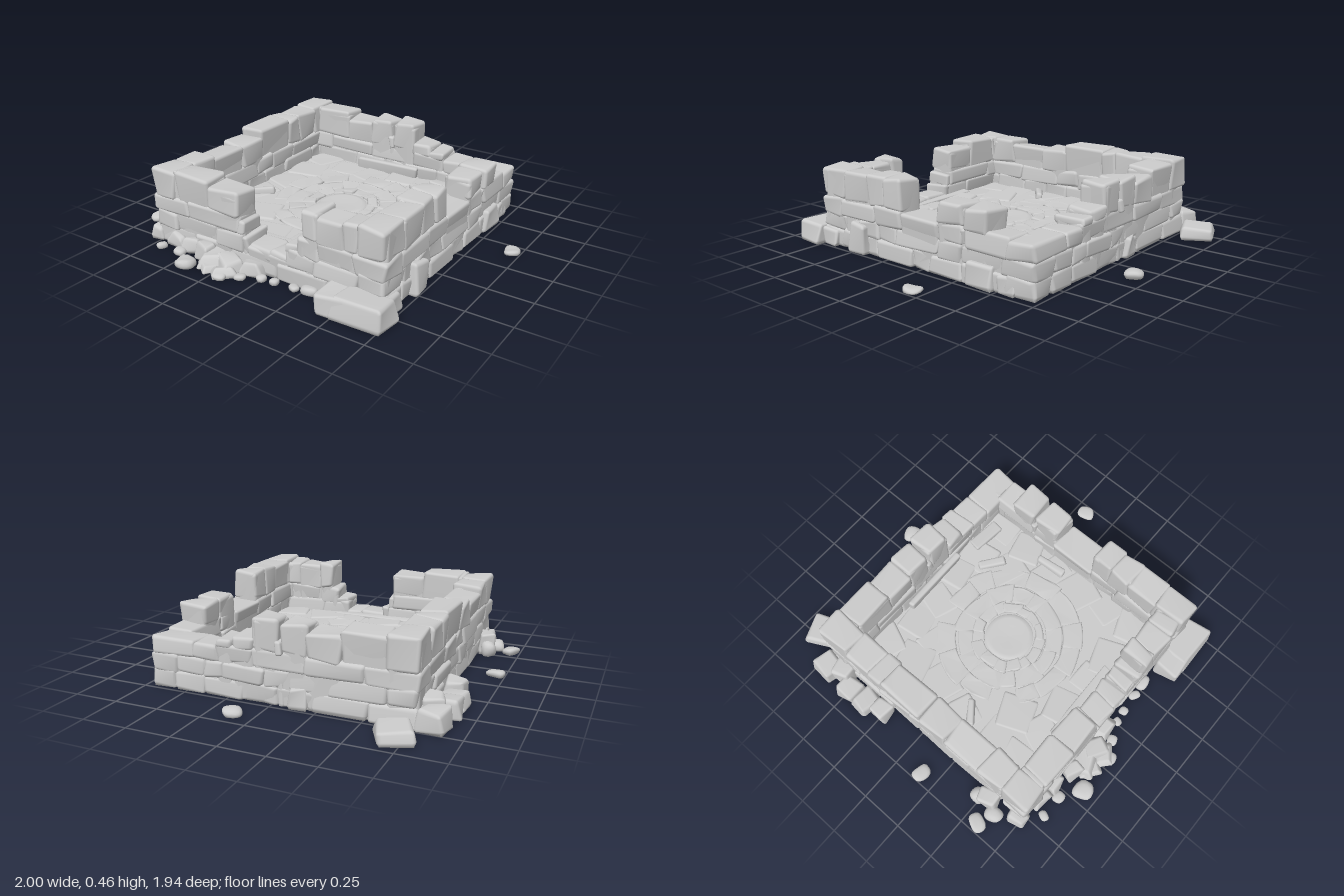
import * as THREE from 'three';
import { mergeGeometries, mergeVertices } from 'three/addons/utils/BufferGeometryUtils.js';
import { RoundedBoxGeometry } from 'three/addons/geometries/RoundedBoxGeometry.js';

const material = new THREE.MeshStandardMaterial({ color: 0xcccccc });
const FLOOR = 0.117, THICK = 0.165;
const X0 = -0.775, X1 = 0.71, Z0 = -0.728, Z1 = 0.765;

let seed = 7;
const rand = (a = 0, b = 1) => {
  seed = (seed * 16807) % 2147483647;
  return a + (b - a) * (seed / 2147483647);
};

// Smooth weathering: moves points by sine waves, keeps everything above ground.
function weather(geometry, amount) {
  for (const key of ['normal', 'uv']) geometry.deleteAttribute(key);
  const g = mergeVertices(geometry, 1e-4), p = g.attributes.position;
  const phase = rand(0, 20);
  for (let i = 0; i < p.count; i++) {
    const x = p.getX(i), y = p.getY(i), z = p.getZ(i);
    const wave = (a, b, c) => amount * Math.sin(a * x + b * y + c * z + phase);
    p.setXYZ(i, x + wave(19, 31, 23),
      y < 0.004 ? 0 : Math.max(0, y + wave(23, 17, 29)), z + wave(29, 27, 13));
  }
  g.computeVertexNormals();
  return g;
}

// A worn block standing on height y, optionally turned and narrowed at the top.
function block(x, y, z, w, h, d, turn = 0, taper = 1, amount = 0.007) {
  const radius = Math.min(0.02, w * 0.35, h * 0.35, d * 0.35);
  const g = new RoundedBoxGeometry(w, h, d, 2, radius), p = g.attributes.position;
  for (let i = 0; i < p.count; i++) {
    const s = 1 + (taper - 1) * (p.getY(i) / h + 0.5);
    p.setX(i, p.getX(i) * s);
    p.setZ(i, p.getZ(i) * s);
  }
  g.rotateY(turn).translate(x, y + h / 2, z);
  return weather(g, amount);
}

// A rough loose stone lying on the ground.
function pebble(x, z, w, h, d) {
  const g = new THREE.IcosahedronGeometry(1, 2), p = g.attributes.position;
  const v = new THREE.Vector3();
  for (let i = 0; i < p.count; i++) {
    v.fromBufferAttribute(p, i);
    v.divideScalar(Math.cbrt(Math.abs(v.x) ** 3 + Math.abs(v.y) ** 3 + Math.abs(v.z) ** 3));
    p.setXYZ(i, v.x * w / 2, v.y * h / 2, v.z * d / 2);
  }
  g.rotateY(rand(-0.5, 0.5)).translate(x, h * 0.42, z);
  return weather(g, Math.min(w, d) * 0.08);
}

function add(parent, name, parts) {
  const mesh = new THREE.Mesh(mergeGeometries(parts), material);
  mesh.name = name;
  parent.add(mesh);
}

// Broken wall from a height profile of [start, end, height] along its length.
function wall(profile, alongX, centre, cornersFirst) {
  const parts = [];
  const put = (a, b, y0, y1, thick, off = 0) => parts.push(alongX
    ? block((a + b) / 2, y0, centre + off, b - a, y1 - y0, thick)
    : block(centre + off, y0, (a + b) / 2, thick, y1 - y0, b - a));
  const first = profile[0][0], last = profile[profile.length - 1][1];
  // solid core closing the joints
  for (const [a, b, h] of profile) {
    const lo = a === first ? a + 0.02 : a - 0.004, hi = b === last ? b - 0.02 : b + 0.004;
    put(lo, hi, 0, h - 0.014, THICK - 0.016);
  }
  // four courses, with alternate bonding at the corners
  const levels = [0, 0.105, 0.195, 0.285, 1];
  for (let c = 0; c < 4; c++) {
    const inset = (c % 2 === 0) === cornersFirst ? 0 : THICK - 0.01;
    const runs = [];
    for (const [a, b, h] of profile) {
      const lo = Math.max(a, first + inset), hi = Math.min(b, last - inset);
      const top = Math.min(h, levels[c + 1]);
      if (top < levels[c] + 0.015 || hi - lo < 0.02) continue;
      const prev = runs[runs.length - 1];
      if (prev && prev[2] === top && Math.abs(prev[1] - lo) < 0.001) prev[1] = hi;
      else runs.push([lo, hi, top]);
    }
    for (const [lo, hi, top] of runs) {
      let a = lo;
      while (a < hi - 0.001) {
        let b = a + rand(0.11, 0.32);
        if (hi - b < 0.08) b = hi;
        const sink = c === 0 ? 0 : rand(0.004, 0.022);
        put(a - 0.005, b + 0.005, levels[c] - sink, top, THICK + rand(-0.012, 0.01), rand(-0.004, 0.004));
        a = b;
      }
    }
  }
  return parts;
}

// A paving stone shaped as a slice of a ring.
function ringStone(r0, r1, a0, a1, top) {
  const s = new THREE.Shape(), bevel = 0.008;
  s.absarc(0, 0, r1 - bevel, a0, a1, false);
  s.absarc(0, 0, r0 + bevel, a1, a0, true);
  s.closePath();
  const g = new THREE.ExtrudeGeometry(s, { depth: 0.04, curveSegments: 4,
    bevelSize: bevel, bevelThickness: bevel, bevelSegments: 2 });
  g.rotateX(-Math.PI / 2).translate(-0.03, top - 0.048, 0.02);
  return weather(g, 0.004);
}

export function createModel() {
  const model = new THREE.Group();
  model.name = 'ruinedStoneRoom';

  // Walls
  const walls = new THREE.Group();
  walls.name = 'walls';
  model.add(walls);
  const half = THICK / 2;
  add(walls, 'frontWall', wall([[X0, -0.6, 0.435], [-0.6, -0.38, 0.44], [-0.38, -0.18, 0.41],
    [-0.18, -0.15, 0.26], [-0.15, -0.12, 0.19], [-0.12, 0.13, 0.15], [0.13, 0.2, 0.22], [0.2, 0.24, 0.29],
    [0.24, 0.32, 0.44], [0.32, 0.47, 0.42], [0.47, 0.56, 0.43], [0.56, X1, 0.445]], true, Z1 - half, true));
  add(walls, 'backWall', wall([[X0, -0.61, 0.455], [-0.61, -0.38, 0.445], [-0.38, -0.2, 0.41],
    [-0.2, -0.06, 0.44], [-0.06, -0.035, 0.35], [-0.035, 0.1, 0.45], [0.1, 0.22, 0.34],
    [0.22, 0.31, 0.31], [0.31, X1, 0.275]], true, Z0 + half, true));
  add(walls, 'leftWall', wall([[Z0, -0.62, 0.27], [-0.62, -0.44, 0.285], [-0.44, -0.3, 0.39],
    [-0.3, -0.275, 0.28], [-0.275, -0.12, 0.39], [-0.12, 0.15, 0.275], [0.15, 0.4, 0.45],
    [0.4, 0.58, 0.44], [0.58, Z1, 0.445]], false, X1 - half, false));
  add(walls, 'rightWall', wall([[Z0, -0.52, 0.455], [-0.52, -0.25, 0.445], [-0.25, 0.02, 0.455],
    [0.02, 0.2, 0.41], [0.2, 0.44, 0.4], [0.44, 0.6, 0.43], [0.6, Z1, 0.435]], false, X0 + half, false));

  // Floor bed with a round paved pattern
  const floor = new THREE.Group();
  floor.name = 'floor';
  model.add(floor);
  const bed = new THREE.BoxGeometry(X1 - X0 - 0.08, FLOOR, Z1 - Z0 - 0.08);
  bed.translate((X0 + X1) / 2, FLOOR / 2, (Z0 + Z1) / 2);
  add(floor, 'floorBed', [bed]);

  const hub = new THREE.LatheGeometry([[0.147, -0.005], [0.135, 0.006], [0.115, 0.008], [0.07, 0.005], [0, 0.003]]
    .map(([r, y]) => new THREE.Vector2(r, FLOOR + y)), 28);
  hub.translate(-0.03, 0, 0.02);
  add(floor, 'roundHubStone', [hub]);

  const ring = [];
  [[0.145, 0.21, 15], [0.208, 0.31, 14], [0.312, 0.42, 15]].forEach(([r0, r1, n], k) => {
    let a = k * 0.2;
    const end = a + Math.PI * 2;
    while (a < end - 0.05) {
      let b = a + rand(0.65, 1.4) * Math.PI * 2 / n;
      if (end - b < 0.2) b = end;
      if (k < 2 || rand() > 0.3) {
        ring.push(ringStone(r0 + rand(0, 0.008), r1 + rand(-0.015, 0.02), a + 0.004, b - 0.004, FLOOR + rand(0.006, 0.016)));
      }
      a = b;
    }
  });
  add(floor, 'ringPaving', ring);

  const slabs = [];
  for (let i = 0; i < 6; i++) for (let j = 0; j < 6; j++) {
    const x = -0.53 + i * 0.2 + rand(-0.03, 0.03), z = -0.48 + j * 0.205 + rand(-0.03, 0.03);
    if (Math.hypot(x + 0.03, z - 0.02) < 0.42) continue;
    slabs.push(block(x, FLOOR - 0.04, z, rand(0.17, 0.25), rand(0.043, 0.052), rand(0.17, 0.25), rand(-0.4, 0.4), 0.94, 0.005));
  }
  add(floor, 'outerPaving', slabs);

  // Fallen debris lying against the inner wall faces: x, z, width, height, depth, turn
  add(floor, 'fallenBlocks', [
    [0.47, -0.08, 0.045, 0.045, 0.2, 0.1], [0.26, -0.36, 0.16, 0.04, 0.05, -0.6], [-0.52, 0.15, 0.15, 0.045, 0.05, 0.6],
    [0.37, -0.51, 0.2, 0.04, 0.08, -0.1], [-0.06, -0.545, 0.42, 0.08, 0.04, 0], [-0.06, 0.585, 0.5, 0.03, 0.06, 0],
  ].map(([x, z, w, h, d, t]) => block(x, FLOOR - 0.01, z, w, h, d, t)));

  // Large blocks fallen outside
  add(model, 'fallenCornerStones', [
    block(0.635, 0, 0.83, 0.3, 0.12, 0.185, 0, 0.86), block(0.5, 0, 0.84, 0.2, 0.115, 0.16, 0.08, 0.94),
    block(-0.7, 0, -0.86, 0.19, 0.075, 0.2, 0.45, 0.85)]);

  // Stones leaning on the foot of the walls: x, z, width, height, depth, turn
  add(model, 'footStones', [
    [-0.84, -0.68, 0.15, 0.11, 0.16, -0.15], [-0.86, -0.49, 0.14, 0.1, 0.14, 0.1], [-0.85, -0.37, 0.16, 0.08, 0.13, -0.2],
    [-0.83, -0.26, 0.12, 0.11, 0.12, 0], [-0.81, -0.58, 0.12, 0.14, 0.13, 0.2], [-0.81, 0.54, 0.1, 0.13, 0.13, 0.2],
    [-0.78, 0.73, 0.09, 0.08, 0.12, 0.1], [0.68, -0.4, 0.12, 0.125, 0.19, 0], [0.68, -0.56, 0.09, 0.1, 0.13, 0],
    [0.7, 0.46, 0.11, 0.17, 0.13, 0], [0.69, 0.7, 0.11, 0.1, 0.12, 0], [-0.15, -0.71, 0.11, 0.12, 0.08, 0.2],
  ].map(([x, z, w, h, d, t]) => block(x, 0, z, w, h, d, t, 0.85)));

  // Angular chunks spilling from the front breach: x, z, width, height, depth, turn
  add(model, 'spilledChunks', [
    [-0.3, 0.8, 0.2, 0.075, 0.17, 0.3], [-0.38, 0.79, 0.14, 0.09, 0.11, -0.3], [-0.2, 0.81, 0.17, 0.075, 0.15, -0.5],
    [-0.08, 0.78, 0.16, 0.075, 0.1, 0.2], [-0.2, 0.87, 0.14, 0.045, 0.13, 0.7], [-0.31, 0.86, 0.12, 0.04, 0.1, -0.6],
    [-0.5, 0.77, 0.14, 0.075, 0.08, 0.1], [-0.62, 0.77, 0.13, 0.07, 0.06, -0.1],
  ].map(([x, z, w, h, d, t]) => block(x, 0, z, w, h, d, t, 0.65, 0.01)));

  // Small rubble at the front and the right foot: x, z, width, height, depth
  add(model, 'rubble', [
    [-0.43, 0.91, 0.11, 0.055, 0.1], [-0.1, 0.86, 0.06, 0.03, 0.06], [-0.55, 0.83, 0.07, 0.04, 0.06],
    [-0.68, 0.83, 0.05, 0.035, 0.06], [0.01, 0.81, 0.05, 0.03, 0.05], [0.08, 0.8, 0.05, 0.03, 0.05],
    [0.2, 0.79, 0.06, 0.03, 0.05], [-0.18, 0.92, 0.07, 0.03, 0.06], [-0.86, 0.62, 0.08, 0.06, 0.1],
    [-0.83, 0.49, 0.08, 0.1, 0.09], [0.29, 0.78, 0.09, 0.05, 0.06],
  ].map(p => pebble(...p)));

  // Stray stones
  add(model, 'strayStones', [[-0.95, 0.15, 0.095, 0.04, 0.08], [-0.945, 0.57, 0.085, 0.045, 0.11],
    [0.95, -0.18, 0.09, 0.032, 0.1], [0.115, -0.91, 0.09, 0.04, 0.1]].map(p => pebble(...p)));
  return model;
}
